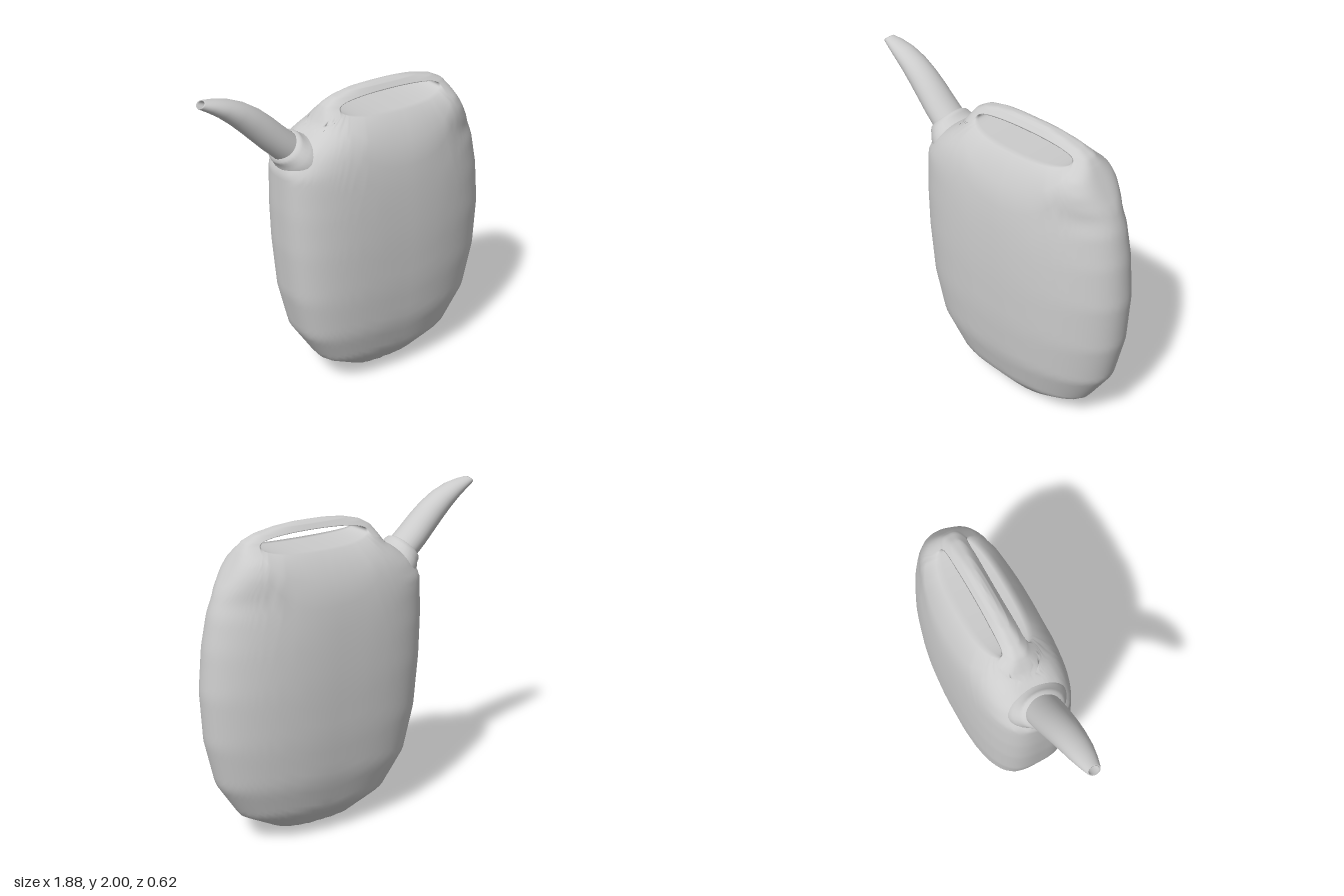
import * as THREE from 'three';

const material = new THREE.MeshStandardMaterial({ color: 0xcccccc, side: THREE.DoubleSide });

// Piecewise linear lookup: rows are [key, value] with rising keys
function lookup(rows, k) {
  if (k <= rows[0][0]) return rows[0][1];
  for (let i = 1; i < rows.length; i++) {
    const [k0, v0] = rows[i - 1], [k1, v1] = rows[i];
    if (k <= k1) return v0 + (v1 - v0) * (k - k0) / (k1 - k0);
  }
  return rows[rows.length - 1][1];
}

// Skin a grid of rings; each ring is closed, the rows may be closed too
function skin(name, rings, closeRows) {
  const n = rings[0].length, m = rings.length, index = [];
  for (let j = 0; j < (closeRows ? m : m - 1); j++) {
    for (let i = 0; i < n; i++) {
      const a = j * n + i, b = j * n + (i + 1) % n;
      const c = ((j + 1) % m) * n + i, d = ((j + 1) % m) * n + (i + 1) % n;
      index.push(a, b, c, b, d, c);
    }
  }
  const geometry = new THREE.BufferGeometry();
  geometry.setAttribute('position', new THREE.Float32BufferAttribute(rings.flat(2), 3));
  geometry.setIndex(index);
  geometry.computeVertexNormals();
  const mesh = new THREE.Mesh(geometry, material);
  mesh.name = name;
  return mesh;
}

// Side outlines as [y, x], from the bottom up to the handle
const leftSide = [[0, 0.24], [0.05, -0.02], [0.18, -0.24], [0.4, -0.38], [0.68, -0.445], [1, -0.472],
  [1.24, -0.48], [1.5, -0.478], [1.6, -0.40], [1.68, -0.29], [1.71, -0.24], [1.77, -0.2],
  [1.81, -0.17], [1.845, -0.11], [1.87, -0.01], [1.882, 0.1], [1.887, 0.24]];
const rightSide = [[0, 0.24], [0.05, 0.51], [0.18, 0.73], [0.4, 0.865], [0.68, 0.925], [0.98, 0.938],
  [1.24, 0.912], [1.43, 0.872], [1.56, 0.82], [1.67, 0.75], [1.76, 0.69], [1.81, 0.65],
  [1.845, 0.58], [1.87, 0.46], [1.882, 0.36], [1.887, 0.24]];
// Half depth by height
const depth = [[0, 0], [0.05, 0.12], [0.18, 0.22], [0.4, 0.28], [0.68, 0.305], [1, 0.312], [1.24, 0.305],
  [1.43, 0.29], [1.57, 0.265], [1.65, 0.24], [1.72, 0.2], [1.76, 0.15], [1.8, 0.1], [1.845, 0.06],
  [1.87, 0.04], [1.882, 0.02], [1.887, 0]];

function halfDepth(x, y) {
  const l = lookup(leftSide, y), r = lookup(rightSide, y);
  if (r - l < 1e-4) return 0;
  const u = THREE.MathUtils.clamp((2 * x - l - r) / (r - l), -1, 1);
  const n = y > 1.74 ? 3.2 : u < 0 ? 3 : 2.1 + 1.1 * THREE.MathUtils.smoothstep(y, 1.5, 1.74);
  return lookup(depth, y) * Math.pow(1 - Math.pow(Math.abs(u), n), 1 / n);
}

function polyline(points) {
  const path = new THREE.CurvePath();
  for (let i = 1; i < points.length; i++) path.add(new THREE.LineCurve(points[i - 1], points[i]));
  return path;
}

// Flat can with a grip hole: outline and hole are joined by front, back and tunnel
function makeBody() {
  const upper = 56, lower = 112, steps = 28, tunnel = 8;
  const toPoint = ([y, x]) => new THREE.Vector2(x, y);
  const left = leftSide.map(toPoint), right = rightSide.map(toPoint).reverse();
  const li = 11, ri = 5; // where the handle meets the can
  const over = polyline([...left.slice(li), ...right.slice(1, ri + 1)]);
  const under = polyline([...right.slice(ri), ...left.slice(1, li + 1)]);
  const outer = [], hole = [];
  const power = (v, e) => Math.sign(v) * Math.pow(Math.abs(v), e);
  for (let i = 0; i < upper + lower; i++) {
    const top = i < upper, t = top ? i / upper : (i - upper) / lower;
    const a = top ? Math.PI * (1 - t) : -Math.PI * t;
    outer.push((top ? over : under).getPoint(t));
    hole.push(new THREE.Vector2(0.24 + 0.35 * power(Math.cos(a), 0.85), 1.79 + 0.05 * power(Math.sin(a), 0.85)));
  }
  const ring = (s, side) => outer.map((o, i) => {
    const p = hole[i].clone().lerp(o, 1 - Math.pow(1 - s, 2.5));
    return [p.x, p.y, s === 1 ? 0 : side * halfDepth(p.x, p.y)];
  });
  const rings = [];
  for (let j = 0; j <= steps; j++) rings.push(ring(j / steps, 1));
  for (let j = steps - 1; j >= 0; j--) rings.push(ring(j / steps, -1));
  for (let j = 1; j < tunnel; j++) rings.push(ring(0, -1 + 2 * j / tunnel));
  return skin('canBody', rings, true);
}

// Oval sections [x, y, radius in the plane, radius in z, tilt in degrees]
function ovalLoft(name, sections, sides = 28) {
  const rings = sections.map(([x, y, r, rz, tilt]) => {
    const a = tilt * Math.PI / 180;
    return Array.from({ length: sides }, (_, i) => {
      const t = i / sides * Math.PI * 2, c = Math.cos(t) * r;
      return [x + c * Math.sin(a), y - c * Math.cos(a), Math.sin(t) * rz];
    });
  });
  return skin(name, rings, false);
}

export function createModel() {
  const group = new THREE.Group();
  group.name = 'wateringCan';
  group.add(makeBody());

  // Stepped collar at the shoulder
  group.add(ovalLoft('spoutCollar', [
    [-0.31, 1.51, 0.14, 0.19, 135], [-0.365, 1.565, 0.13, 0.175, 135], [-0.39, 1.59, 0.116, 0.16, 135],
    [-0.405, 1.605, 0.107, 0.145, 135], [-0.418, 1.618, 0.108, 0.135, 135], [-0.43, 1.63, 0.104, 0.12, 135],
    [-0.437, 1.637, 0.09, 0.1, 135]]));

  // Curved tapering spout with a hollow tip
  group.add(ovalLoft('spout', [
    [-0.40, 1.60, 0.09, 0.105, 135], [-0.445, 1.645, 0.086, 0.105, 135], [-0.50, 1.695, 0.086, 0.102, 135],
    [-0.56, 1.755, 0.085, 0.097, 135], [-0.635, 1.825, 0.08, 0.09, 136], [-0.71, 1.884, 0.07, 0.082, 139],
    [-0.79, 1.932, 0.055, 0.071, 142], [-0.86, 1.962, 0.04, 0.055, 141], [-0.915, 1.981, 0.028, 0.038, 136],
    [-0.921, 1.984, 0.025, 0.034, 133], [-0.917, 1.981, 0.02, 0.028, 133], [-0.85, 1.95, 0.02, 0.028, 138],
    [-0.85, 1.95, 0.001, 0.001, 138]]));
  return group;
}
